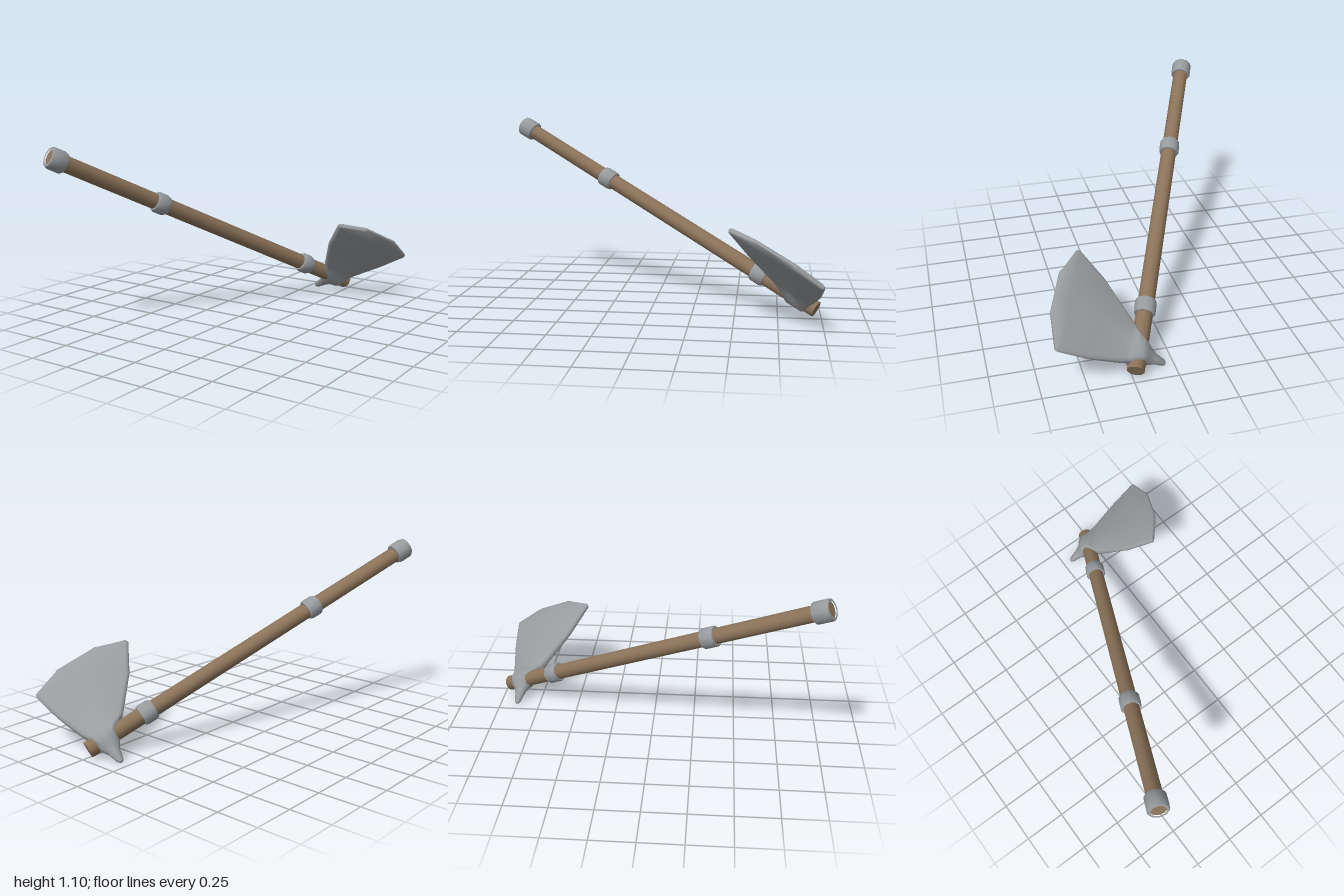
import * as THREE from 'three';
import { toCreasedNormals } from 'three/addons/utils/BufferGeometryUtils.js';

const wood = new THREE.MeshStandardMaterial({ color: 0x8b7359 });
const steel = new THREE.MeshStandardMaterial({ color: 0x989c9f });
const SIDES = 10;

function addMesh(parent, name, geometry, material) {
  const mesh = new THREE.Mesh(geometry, material);
  mesh.name = name;
  parent.add(mesh);
  return mesh;
}

// Steel ring with softened rims, its length running along the handle
function ringGeometry(length, radius, inner) {
  const h = length / 2;
  const profile = [
    [inner, -h], [radius - 0.006, -h], [radius, -h + 0.015],
    [radius, h - 0.015], [radius - 0.006, h], [inner, h],
  ].map(([x, y]) => new THREE.Vector2(x, y));
  return toCreasedNormals(new THREE.LatheGeometry(profile, SIDES), 0.9);
}

// Head lofted from spike tip to cutting edge.
// Each section: [distance from handle axis, low end, high end, half thickness, rim width]
function headGeometry(middle) {
  const sections = [
    [-0.172, 0.117, 0.143, 0.009, 0.012],
    [-0.16, 0.11, 0.15, 0.015, 0.015],
    [-0.1, 0.095, 0.165, 0.024, 0.03],
    [-0.062, 0.07, 0.185, 0.032, 0.04],
    [-0.035, 0.06, 0.2, 0.05, 0.03],
    [0, 0.05, 0.205, 0.06, 0.025],
    [0.035, 0.015, 0.212, 0.05, 0.03],
    [0.065, -0.025, 0.222, 0.033, 0.03],
    [0.1, -0.055, 0.235, 0.024, 0.025],
    [0.28, -0.205, 0.285, 0.019, 0.022],
    [0.465, -0.312, 0.316, 0.017, 0.022],
    [0.482, -0.308, 0.312, 0.016, 0.022],
    [0.54, -0.155, 0.155, 0.015, 0.02],
    [0.553, -0.135, 0.135, 0.006, 0.015],
  ];
  const n = 12;
  const positions = [];
  const index = [];
  for (const [r, lo, hi, h, e] of sections) {
    const mid = (lo + hi) / 2;
    const ring = [
      [hi, 0], [hi - e * 0.3, h * 0.7], [hi - e, h], [mid, h], [lo + e, h], [lo + e * 0.3, h * 0.7],
      [lo, 0], [lo + e * 0.3, -h * 0.7], [lo + e, -h], [mid, -h], [hi - e, -h], [hi - e * 0.3, -h * 0.7],
    ];
    for (const [s, w] of ring) positions.push(r, middle + s, w);
  }
  for (let i = 0; i < sections.length - 1; i++) {
    for (let j = 0; j < n; j++) {
      const a = i * n + j;
      const b = i * n + (j + 1) % n;
      index.push(a, b, a + n, b, b + n, a + n);
    }
  }
  // Close both ends
  const last = (sections.length - 1) * n;
  for (let j = 1; j < n - 1; j++) {
    index.push(0, j + 1, j);
    index.push(last, last + j, last + j + 1);
  }
  const geometry = new THREE.BufferGeometry();
  geometry.setAttribute('position', new THREE.Float32BufferAttribute(positions, 3));
  geometry.setIndex(index);
  return toCreasedNormals(geometry, 0.95);
}

export function createModel() {
  const model = new THREE.Group();
  model.name = 'axe';

  // Local frame: y runs from butt to head, x points towards the cutting edge
  const axe = new THREE.Group();
  axe.name = 'tiltedAxe';
  const along = new THREE.Vector3(0.363, -0.425, -0.829).normalize();
  const blade = new THREE.Vector3(0.838, 0.539, 0.09);
  blade.addScaledVector(along, -blade.dot(along)).normalize();
  const across = new THREE.Vector3().crossVectors(blade, along);
  axe.quaternion.setFromRotationMatrix(new THREE.Matrix4().makeBasis(blade, along, across));
  axe.position.set(-0.61, 1.04, 0.965);
  model.add(axe);

  // Wooden handle, running through the head
  const length = 2.325;
  const handle = toCreasedNormals(new THREE.CylinderGeometry(0.049, 0.047, length, SIDES), 0.9);
  handle.translate(0, length / 2 + 0.008, 0);
  addMesh(axe, 'handle', handle, wood);

  // Butt cap and the two bands
  addMesh(axe, 'buttCap', ringGeometry(0.1, 0.064, 0.044), steel).position.y = 0.05;
  for (const [name, y] of [['middleBand', 0.754], ['upperBand', 1.94]]) {
    addMesh(axe, name, ringGeometry(0.088, 0.063, 0.044), steel).position.y = y;
  }

  // Blade, collar and rear spike in one piece
  addMesh(axe, 'axeHead', headGeometry(2.09), steel);

  return model;
}
